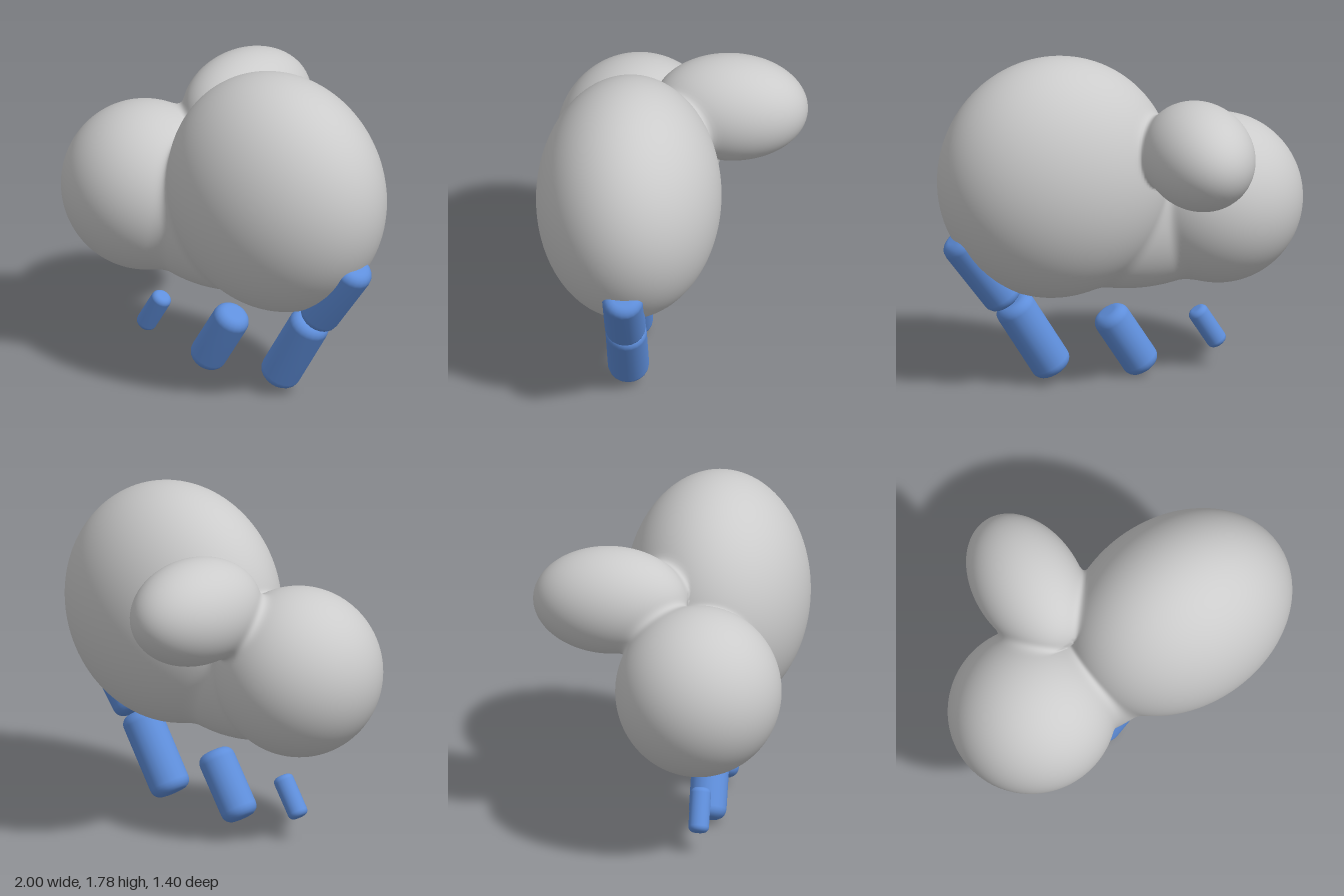
import * as THREE from 'three';
import { mergeVertices } from 'three/addons/utils/BufferGeometryUtils.js';

// Puffs of the cloud: centre, radii, and how softly each blends into the rest
const PUFFS = [
  { c: [0.36, 1.13, 0.21], r: [0.64, 0.65, 0.49], k: 0 },      // large puff
  { c: [-0.55, 0.935, 0.21], r: [0.45, 0.455, 0.44], k: 0.1 }, // small puff
  { c: [-0.1, 0.88, 0.21], r: [0.62, 0.395, 0.28], k: 0.06 },  // flat underside between them
  { c: [-0.27, 1.32, -0.29], r: [0.285, 0.285, 0.41], k: 0.12 }, // rear puff
];
// Point that lies inside every puff
const CORE = new THREE.Vector3(-0.2, 1.15, 0.09);

// Distance from the core to where a ray leaves an ellipsoid (0 if it misses)
function exitDistance(dir, { c, r }) {
  const o = new THREE.Vector3((CORE.x - c[0]) / r[0], (CORE.y - c[1]) / r[1], (CORE.z - c[2]) / r[2]);
  const d = new THREE.Vector3(dir.x / r[0], dir.y / r[1], dir.z / r[2]);
  const a = d.dot(d), b = o.dot(d), disc = b * b - a * (o.dot(o) - 1);
  return disc < 0 ? 0 : Math.max(0, (-b + Math.sqrt(disc)) / a);
}

function smoothMax(a, b, k) {
  if (k === 0) return Math.max(a, b);
  const h = Math.max(k - Math.abs(a - b), 0) / k;
  return Math.max(a, b) + h * h * k / 4;
}

// A sphere pushed outward to the blended surface of all puffs
function cloudGeometry() {
  let geo = new THREE.IcosahedronGeometry(1, 36);
  geo.deleteAttribute('uv');
  geo.deleteAttribute('normal');
  geo = mergeVertices(geo, 1e-5);
  const pos = geo.attributes.position;
  const dir = new THREE.Vector3();
  for (let i = 0; i < pos.count; i++) {
    dir.fromBufferAttribute(pos, i).normalize();
    const dist = PUFFS.reduce((d, p) => smoothMax(d, exitDistance(dir, p), p.k), 0);
    dir.multiplyScalar(dist).add(CORE);
    pos.setXYZ(i, dir.x, dir.y, dir.z);
  }
  geo.computeVertexNormals();
  return geo;
}

// Cylinder with rounded rims: radius r, half length h, rim rounding c
function dropGeometry(r, h, c) {
  const pts = [new THREE.Vector2(0, -h)];
  for (const end of [-1, 1]) {
    for (let i = 0; i <= 5; i++) {
      const a = (end < 0 ? i / 5 - 1 : i / 5) * Math.PI / 2;
      pts.push(new THREE.Vector2(r - c + c * Math.cos(a), end * (h - c) + c * Math.sin(a)));
    }
  }
  pts.push(new THREE.Vector2(0, h));
  return new THREE.LatheGeometry(pts, 20);
}

export function createModel() {
  const model = new THREE.Group();
  model.name = 'rainCloud';

  const cloud = new THREE.Mesh(cloudGeometry(), new THREE.MeshStandardMaterial({ color: 0xcccccc }));
  cloud.name = 'cloud';
  model.add(cloud);

  // Slanted raindrops, smallest to the model's right: x, y, radius, half length, rim, slope
  const blue = new THREE.MeshStandardMaterial({ color: 0x5f8fdc });
  const drops = [
    [-0.49, 0.23, 0.055, 0.12, 0.03, 57],
    [-0.035, 0.2, 0.1, 0.195, 0.055, 57],
    [0.485, 0.27, 0.11, 0.235, 0.055, 58],
    [0.77, 0.66, 0.11, 0.237, 0.055, 53],
  ];
  drops.forEach(([x, y, r, h, c, slope], i) => {
    const drop = new THREE.Mesh(dropGeometry(r, h, c), blue);
    drop.name = `raindrop${i + 1}`;
    drop.position.set(x, y, 0.21);
    drop.rotation.z = THREE.MathUtils.degToRad(slope - 90);
    model.add(drop);
  });
  return model;
}
